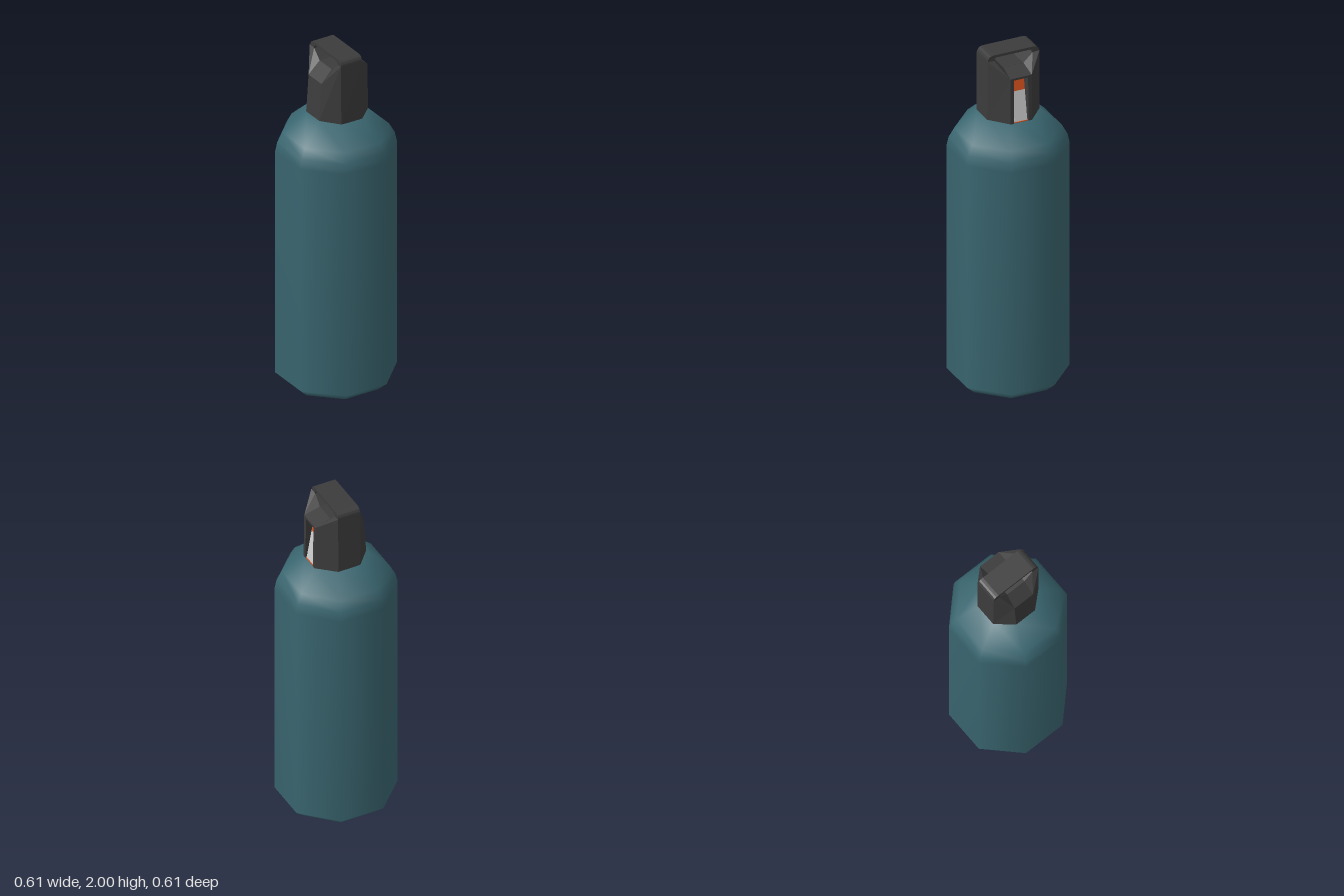
import * as THREE from 'three';

const mat = (color) => new THREE.MeshStandardMaterial({ color, side: THREE.DoubleSide });

// Flat-shaded surface from convex polygons, corners anticlockwise from outside
function panels(polys) {
  const pos = [];
  for (const p of polys)
    for (let i = 1; i < p.length - 1; i++) pos.push(...p[0], ...p[i], ...p[i + 1]);
  const g = new THREE.BufferGeometry();
  g.setAttribute('position', new THREE.Float32BufferAttribute(pos, 3));
  g.computeVertexNormals();
  return g;
}

// Side profile in x/y extruded across z, centred
function slab(points, width) {
  const shape = new THREE.Shape(points.map(([x, y]) => new THREE.Vector2(x, y)));
  return new THREE.ExtrudeGeometry(shape, { depth: width, bevelEnabled: false }).translate(0, 0, -width / 2);
}

export function createModel() {
  const root = new THREE.Group();
  const add = (parent, name, geometry, material) => {
    const m = new THREE.Mesh(geometry, material);
    m.name = name;
    parent.add(m);
  };
  const teal = mat(0x3a6670), dark = mat(0x3c3c3c), orange = mat(0xd9521e), grey = mat(0xcccccc);

  // Octagonal bottle: profile given as distance from axis to flat side
  const k = 1 / Math.cos(Math.PI / 8);
  const profile = [[0, 0], [0.255, 0], [0.307, 0.05], [0.307, 1.4], [0.296, 1.455], [0.268, 1.51], [0.15, 1.625], [0, 1.625]];
  add(root, 'bottle', new THREE.LatheGeometry(
    profile.map(([r, y]) => new THREE.Vector2(r * k, y)), 8, Math.PI / 8), teal);

  const cap = new THREE.Group();
  cap.name = 'cap';
  root.add(cap);

  // Cap walls: octagon corners, face 0 looks along +x
  const bottom = [], top = [];
  for (let i = 0; i < 8; i++) {
    const a = (i - 0.5) * Math.PI / 4, c = Math.cos(a), s = Math.sin(a);
    const side = Math.abs(c) > 0.5 ? Math.sign(c) : 0;
    const xb = c * k * (side > 0 ? 0.163 : side < 0 ? 0.149 : 0.16);
    bottom.push([xb, 1.617 - 0.05 * xb, s * k * 0.157]);
    top.push([c * k * (side > 0 ? 0.159 : side < 0 ? 0.134 : 0.166),
      side > 0 ? 1.885 : side < 0 ? 1.845 : 1.97, s * k * 0.155]);
  }
  const walls = [];
  for (let i = 1; i < 8; i++) {
    const j = (i + 1) % 8;
    walls.push([bottom[j], bottom[i], top[i], top[j]]);
  }

  // Front wall framing the trigger slot, and the slot's inner faces
  const h = 0.043, yb = 1.609, yt = 1.873, xi = 0.05;
  const b0 = [0.163, yb, -h], b1 = [0.163, yb, h], t0 = [0.159, yt, -h], t1 = [0.159, yt, h];
  const inner = ([, y, z]) => [xi, y, z];
  walls.push(
    [b0, bottom[0], top[0], t0], [bottom[1], b1, t1, top[1]], [t1, t0, top[0], top[1]],
    [b1, inner(b1), inner(t1), t1], [inner(b0), b0, t0, inner(t0)],
    [inner(t1), inner(t0), t0, t1], [inner(b1), inner(b0), inner(t0), inner(t1)]);
  add(cap, 'capWalls', panels(walls), dark);

  // Scooped shoulders running up to the handle opening on both sides
  const shoulders = [];
  for (const [s, n, p, nz, pz] of [[1, 0, 1, 7, 2], [-1, 5, 4, 6, 3]]) {
    const x = s * 0.066;
    const floorN = [x, 1.914, -0.06], floorP = [x, 1.914, 0.06];
    const list = [
      [top[p], top[n], floorN, floorP],
      [top[n], top[nz], [x, 1.966, -0.115]], [top[n], [x, 1.966, -0.115], floorN],
      [top[p], [x, 1.966, 0.115], top[pz]], [top[p], floorP, [x, 1.966, 0.115]],
    ];
    shoulders.push(...(s > 0 ? list : list.map((q) => q.slice().reverse())));
  }
  add(cap, 'shoulders', panels(shoulders), dark);

  // Carry handle: rounded arch with a trapezoid opening along x
  const arch = new THREE.Shape();
  arch.moveTo(-0.154, 1.88);
  arch.lineTo(0.154, 1.88);
  arch.lineTo(0.154, 1.962);
  arch.quadraticCurveTo(0.154, 2, 0.12, 2);
  arch.lineTo(-0.12, 2);
  arch.quadraticCurveTo(-0.154, 2, -0.154, 1.962);
  arch.closePath();
  const opening = [[-0.06, 1.914], [-0.115, 1.964], [-0.113, 1.978], [-0.1, 1.985],
    [0.1, 1.985], [0.113, 1.978], [0.115, 1.964], [0.06, 1.914]];
  arch.holes.push(new THREE.Path(opening.map(([x, y]) => new THREE.Vector2(x, y))));
  const handle = new THREE.ExtrudeGeometry(arch, { depth: 0.133, bevelEnabled: false, curveSegments: 4 });
  handle.rotateY(Math.PI / 2).translate(-0.066, 0, 0);
  add(cap, 'handle', handle, dark);

  // Leaning trigger inside the slot
  const trigger = new THREE.Group();
  trigger.name = 'trigger';
  root.add(trigger);
  add(trigger, 'triggerLever', slab([[0.06, 1.618], [0.158, 1.618], [0.128, 1.79], [0.06, 1.79]], 0.076), grey);
  add(trigger, 'triggerTip', slab([[0.06, 1.79], [0.128, 1.79], [0.115, 1.862], [0.06, 1.862]], 0.076), orange);
  add(trigger, 'triggerFoot', slab([[0.06, 1.608], [0.162, 1.608], [0.162, 1.618], [0.06, 1.618]], 0.08), orange);
  return root;
}
